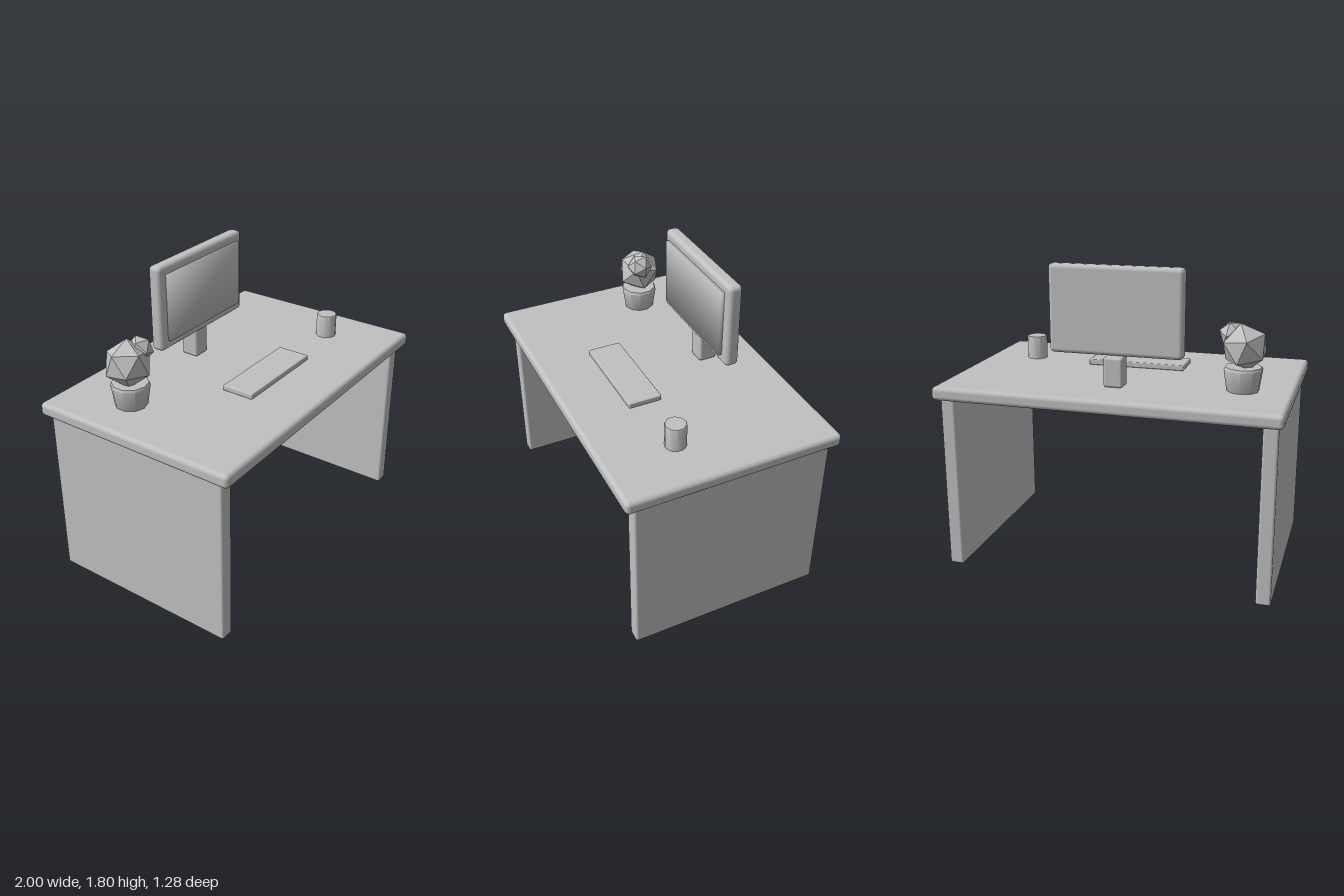
import * as THREE from 'three';
import { RoundedBoxGeometry } from 'three/addons/geometries/RoundedBoxGeometry.js';
import { toCreasedNormals } from 'three/addons/utils/BufferGeometryUtils.js';

export function createModel() {
  const model = new THREE.Group();
  model.name = 'deskSet';
  const grey = new THREE.MeshStandardMaterial({ color: 0xc0c0c0 });
  grey.name = 'plainGrey';

  const add = (name, geometry, x, y, z) => {
    const mesh = new THREE.Mesh(geometry, grey);
    mesh.name = name;
    mesh.position.set(x, y, z);
    model.add(mesh);
    return mesh;
  };
  // Box with softened edges, given by its size and centre
  const box = (name, w, h, d, r, x, y, z) =>
    add(name, new RoundedBoxGeometry(w, h, d, 3, r), x, y, z);
  // Ten-sided turned part, profile from bottom to top
  const turned = (name, profile, x, y, z) => {
    const points = profile.map(([r, h]) => new THREE.Vector2(r, h));
    return add(name, toCreasedNormals(new THREE.LatheGeometry(points, 10), 0.7), x, y, z);
  };
  // Faceted plant ball
  const ball = (name, r, x, y, z) =>
    add(name, toCreasedNormals(new THREE.IcosahedronGeometry(r, 0), 0.1), x, y, z);

  const top = 1.118;

  // Desk
  box('tabletop', 2, 0.081, 1.28, 0.026, 0, 1.0775, 0);
  for (const side of [-1, 1]) {
    box(side > 0 ? 'leftPanel' : 'rightPanel', 0.086, 1.036, 1.17, 0.014, side * 0.927, 0.518, 0);
  }

  // Monitor
  box('monitorStand', 0.112, 0.175, 0.11, 0.015, 0, top + 0.0875, -0.316);
  box('monitorCase', 0.786, 0.51, 0.082, 0.026, 0, 1.545, -0.286);

  // Screen slab with softly shaded corners
  const slab = new THREE.BoxGeometry(0.674, 0.4, 0.04);
  const p = slab.attributes.position;
  const n = slab.attributes.normal;
  for (let i = 0; i < p.count; i++) {
    const v = new THREE.Vector3(Math.sign(p.getX(i)), Math.sign(p.getY(i)), Math.sign(p.getZ(i))).normalize();
    n.setXYZ(i, v.x, v.y, v.z);
  }
  add('screen', slab, 0, 1.548, -0.244);

  // Keyboard and cup
  box('keyboard', 0.6, 0.034, 0.2, 0.007, 0, top + 0.017, 0.21);
  turned('cup', [[0, 0], [0.062, 0], [0.062, 0.138], [0.059, 0.142], [0, 0.142]], 0.684, top, 0.213);

  // Potted plant
  turned('plantPot', [[0, 0], [0.09, 0], [0.093, 0.006], [0.111, 0.124], [0.104, 0.138], [0, 0.138]], -0.715, top, -0.212);
  ball('plantBody', 0.137, -0.72, 1.37, -0.216).rotation.set(-0.15, 0, 0.38);
  ball('plantBud', 0.077, -0.645, 1.433, -0.19).rotation.set(0.5, -0.35, 0, 'YXZ');

  return model;
}
